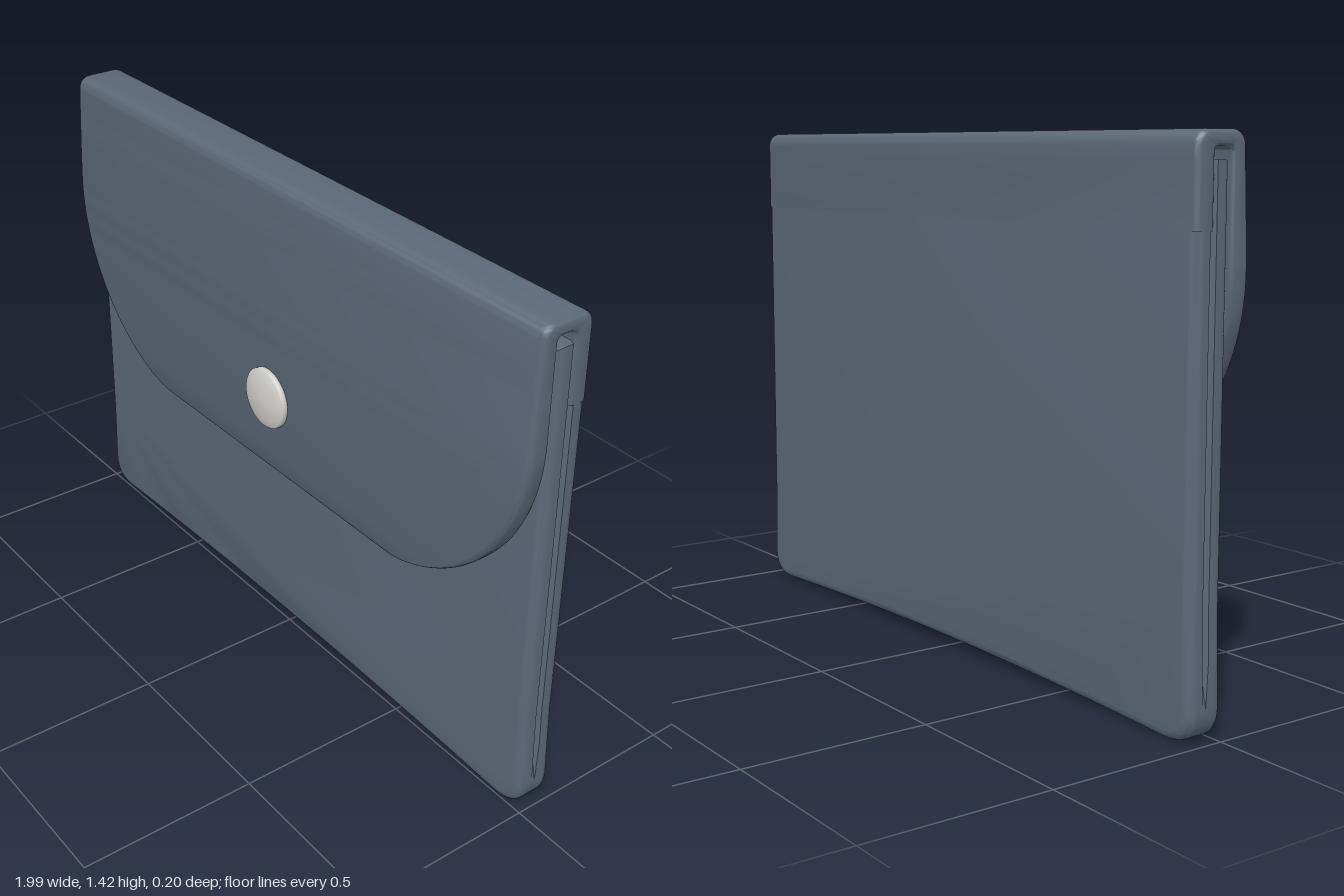
import * as THREE from 'three';
import { toCreasedNormals } from 'three/addons/utils/BufferGeometryUtils.js';

const leather = new THREE.MeshStandardMaterial({ color: 0x5a6878 });
leather.name = 'slate leather';
const metal = new THREE.MeshStandardMaterial({ color: 0xd2d0cc });
metal.name = 'pale metal';

// Flat pouch: rounded bottom corners, bowed lower edge, seam groove down each side
function pouchGeometry() {
  const s = new THREE.Shape();
  s.moveTo(-0.9, 0.003);
  s.quadraticCurveTo(0, 0.046, 0.9, 0.003);
  s.quadraticCurveTo(0.997, 0, 0.997, 0.09);
  s.lineTo(0.993, 0.2);
  s.lineTo(0.99, 0.3);
  s.lineTo(0.99, 1.36);
  s.lineTo(-0.99, 1.36);
  s.lineTo(-0.99, 0.3);
  s.lineTo(-0.993, 0.2);
  s.lineTo(-0.997, 0.09);
  s.quadraticCurveTo(-0.997, 0, -0.9, 0.003);
  const bevel = 0.025, depth = 0.055;
  const geo = new THREE.ExtrudeGeometry(s, {
    depth, steps: 6, curveSegments: 12,
    bevelSize: bevel, bevelThickness: bevel, bevelOffset: -bevel, bevelSegments: 5,
  });
  const p = geo.attributes.position;
  for (let i = 0; i < p.count; i++) {
    const x = p.getX(i);
    if (Math.abs(p.getZ(i) - depth / 2) < 0.003 && Math.abs(x) > 0.9 && p.getY(i) > 0.15) {
      p.setX(i, x - Math.sign(x) * 0.02);
    }
  }
  geo.translate(0, 0, -0.1 + bevel);
  return toCreasedNormals(geo, 0.7);
}

// Stations of the folded flap: outer and inner (z, y) points plus half width
function flapStations() {
  const list = [];
  const add = (oz, oy, iz, iy, w = 0.991) => list.push({ oz, oy, iz, iy, w });
  add(-0.101, 1.2, -0.045, 1.2);
  add(-0.101, 1.36, -0.045, 1.35);
  // Back fold, then front fold
  const fold = (oz, iz, from) => {
    for (let i = 0; i <= 7; i++) {
      const a = from - (i / 7) * Math.PI / 2;
      const c = Math.cos(a), n = Math.sin(a);
      add(oz + 0.036 * c, 1.392 + 0.036 * n, iz + 0.014 * c, 1.376 + 0.014 * n);
    }
  };
  fold(-0.065, -0.031, Math.PI);
  fold(0.019, -0.006, Math.PI / 2);
  // Hanging front, bulging slightly towards the middle
  const outerZ = (y) => 0.055 + 0.015 * Math.sin(Math.min(1, (1.392 - y) / 0.45) * Math.PI / 2);
  for (const y of [1.34, 1.29, 1.24, 1.18]) add(outerZ(y), y, 0.008, y);
  // Elliptical lower corners with a rounded lip
  const r = 0.016;
  for (let i = 0; i <= 28; i++) {
    const a = (i / 28) * Math.PI / 2;
    const y = 1.12 - 0.55 * Math.sin(a);
    const d = Math.min(r, y - 0.57);
    const inset = r - Math.sqrt(Math.max(0, r * r - (r - d) ** 2));
    add(outerZ(y) - inset, y, 0.008 + inset * 0.6, y, 0.46 + 0.531 * Math.cos(a));
  }
  return list;
}

// Sheet swept through the stations with rounded side edges
function flapGeometry() {
  const stations = flapStations(), pos = [], idx = [];
  const seg = 5;
  let ring = 0;
  for (const s of stations) {
    const thick = Math.hypot(s.oz - s.iz, s.oy - s.iy);
    const pts = [];
    const corner = (sx, inner, r, from) => {
      for (let i = 0; i <= seg; i++) {
        const a = from - (i / seg) * Math.PI / 2;
        const x = sx * (s.w - r) + r * Math.cos(a);
        const depth = inner ? thick - r - r * Math.sin(a) : r - r * Math.sin(a);
        pts.push([x, depth / thick]);
      }
    };
    const ro = Math.min(0.02, thick * 0.45), ri = Math.min(0.012, thick * 0.45);
    corner(-1, false, ro, Math.PI);
    corner(1, false, ro, Math.PI / 2);
    corner(1, true, ri, 0);
    corner(-1, true, ri, -Math.PI / 2);
    ring = pts.length;
    for (const [x, t] of pts) {
      pos.push(x, s.oy + (s.iy - s.oy) * t, s.oz + (s.iz - s.oz) * t);
    }
  }
  for (let i = 0; i < stations.length - 1; i++) {
    for (let j = 0; j < ring; j++) {
      const k = (j + 1) % ring;
      const a = i * ring + j, b = i * ring + k, c = a + ring, d = b + ring;
      idx.push(a, c, b, b, c, d);
    }
  }
  // Closed lower edge
  const last = (stations.length - 1) * ring;
  for (let j = 1; j < ring - 1; j++) idx.push(last, last + j + 1, last + j);
  const geo = new THREE.BufferGeometry();
  geo.setAttribute('position', new THREE.Float32BufferAttribute(pos, 3));
  geo.setIndex(idx);
  geo.computeVertexNormals();
  return toCreasedNormals(geo, 0.8);
}

// Domed snap button
function buttonGeometry() {
  const profile = [[0.08, 0], [0.088, 0.004], [0.088, 0.016], [0.083, 0.021],
    [0.065, 0.027], [0.04, 0.032], [0.02, 0.034], [0, 0.035]]
    .map(([x, y]) => new THREE.Vector2(x, y));
  return new THREE.LatheGeometry(profile, 48).rotateX(Math.PI / 2);
}

export function createModel() {
  const group = new THREE.Group();
  group.name = 'snapPouch';
  const add = (name, geo, mat) => {
    const mesh = new THREE.Mesh(geo, mat);
    mesh.name = name;
    group.add(mesh);
    return mesh;
  };
  add('pouchBody', pouchGeometry(), leather);
  add('foldedFlap', flapGeometry(), leather);
  add('snapButton', buttonGeometry(), metal).position.set(0, 0.8, 0.068);
  return group;
}
